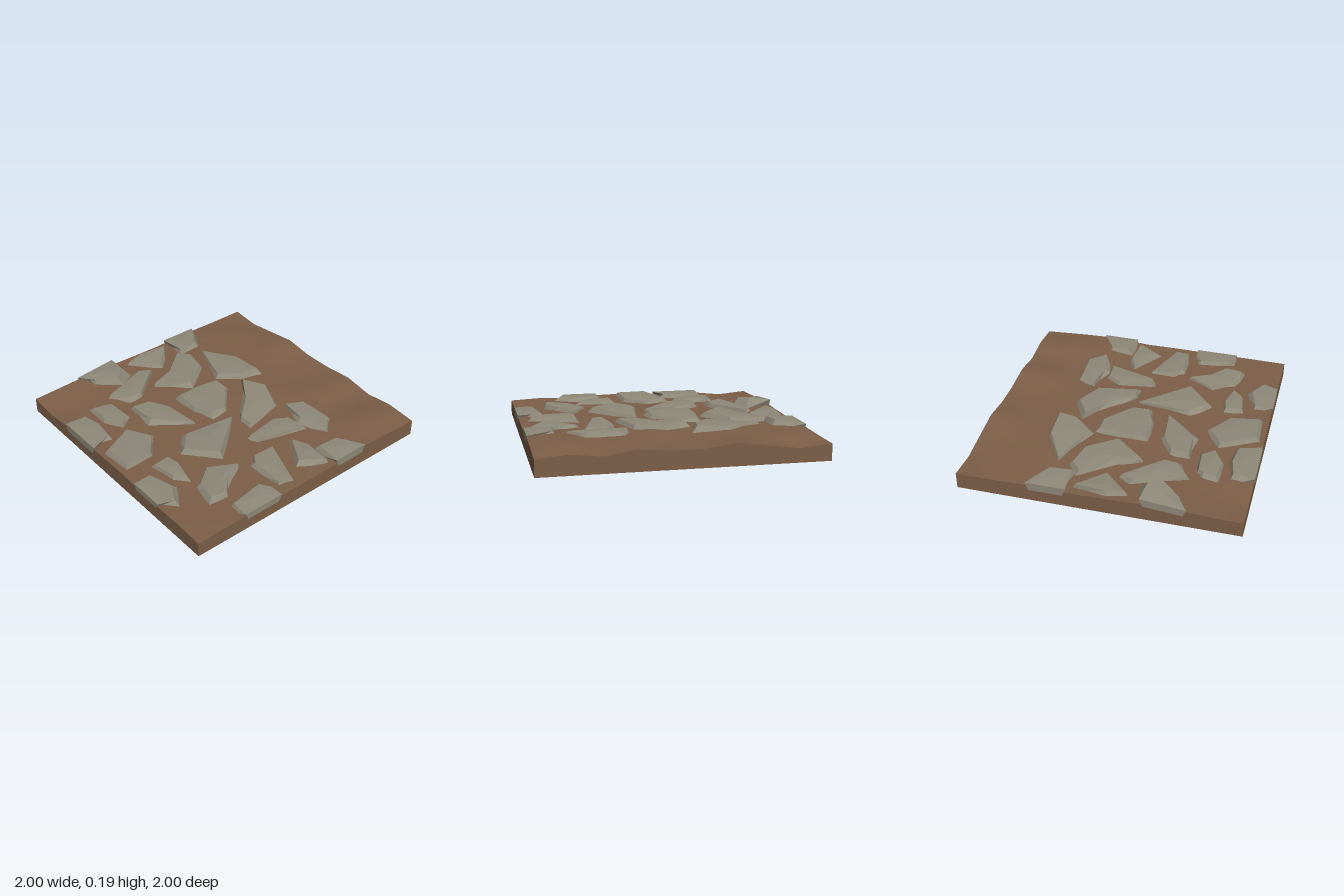
import * as THREE from 'three';

const brown = new THREE.MeshStandardMaterial({ color: 0x7d5f48, side: THREE.DoubleSide });
const brownFlat = new THREE.MeshStandardMaterial({ color: 0x7d5f48, side: THREE.DoubleSide, flatShading: true });
const grey = new THREE.MeshStandardMaterial({ color: 0x8e8978, side: THREE.DoubleSide, flatShading: true });

// Ground heights on a coarse grid: rows from back to front, columns from left to right of x
const heights = [
  [0.12, 0.10, 0.13, 0.16, 0.13, 0.13, 0.15, 0.115, 0.14, 0.12],
  [0.12, 0.14, 0.13, 0.135, 0.125, 0.12, 0.145, 0.13, 0.16, 0.135],
  [0.125, 0.125, 0.14, 0.13, 0.13, 0.14, 0.125, 0.13, 0.145, 0.145],
  [0.115, 0.115, 0.13, 0.125, 0.135, 0.13, 0.12, 0.12, 0.12, 0.12],
  [0.12, 0.11, 0.12, 0.125, 0.135, 0.125, 0.12, 0.12, 0.12, 0.12],
  [0.13, 0.12, 0.115, 0.12, 0.125, 0.125, 0.12, 0.12, 0.115, 0.115],
  [0.12, 0.11, 0.11, 0.11, 0.11, 0.115, 0.12, 0.115, 0.11, 0.115],
  [0.11, 0.09, 0.115, 0.115, 0.125, 0.13, 0.125, 0.115, 0.12, 0.11],
];

function ground(x, z) {
  const cols = heights[0].length - 1, rows = heights.length - 1;
  const u = THREE.MathUtils.clamp((x + 1) / 2, 0, 1) * cols;
  const v = THREE.MathUtils.clamp((z + 1) / 2, 0, 1) * rows;
  const i = Math.min(Math.floor(u), cols - 1), j = Math.min(Math.floor(v), rows - 1);
  const { lerp } = THREE.MathUtils;
  return lerp(lerp(heights[j][i], heights[j][i + 1], u - i),
    lerp(heights[j + 1][i], heights[j + 1][i + 1], u - i), v - j);
}

function meshFrom(name, positions, material) {
  const g = new THREE.BufferGeometry();
  g.setAttribute('position', new THREE.Float32BufferAttribute(positions.flat(), 3));
  g.computeVertexNormals();
  const mesh = new THREE.Mesh(g, material);
  mesh.name = name;
  return mesh;
}

const quad = (a, b, c, d) => [...a, ...b, ...c, ...a, ...c, ...d];

// Uneven earth surface
function earthSurface() {
  const g = new THREE.PlaneGeometry(2, 2, 18, 14).rotateX(-Math.PI / 2);
  const p = g.attributes.position;
  for (let i = 0; i < p.count; i++) p.setY(i, ground(p.getX(i), p.getZ(i)));
  g.computeVertexNormals();
  const mesh = new THREE.Mesh(g, brown);
  mesh.name = 'earthSurface';
  return mesh;
}

// Four walls around the slab, open underneath
function earthWalls() {
  const tris = [];
  const corners = [[-1, 1], [1, 1], [1, -1], [-1, -1]];
  corners.forEach(([x0, z0], k) => {
    const [x1, z1] = corners[(k + 1) % 4], n = k % 2 ? 14 : 18;
    const at = (i) => [x0 + (x1 - x0) * i / n, z0 + (z1 - z0) * i / n];
    for (let i = 0; i < n; i++) {
      const [ax, az] = at(i), [bx, bz] = at(i + 1);
      tris.push(quad([ax, 0, az], [bx, 0, bz], [bx, ground(bx, bz), bz], [ax, ground(ax, az), az]));
    }
  });
  return meshFrom('earthWalls', tris, brownFlat);
}

// Paving stone: crowned top and flared skirt, open underneath.
// Outline is a list of x, z pairs; rise is above the ground, tilt is the slope along x and z
function pavingStone(outline, rise = 0.026, tiltX = 0, tiltZ = 0, depth = 0.06) {
  const n = outline.length;
  const cx = outline.reduce((s, p) => s + p[0], 0) / n;
  const cz = outline.reduce((s, p) => s + p[1], 0) / n;
  const base = ground(cx, cz) * 0.6 + 0.4 * outline.reduce((s, p) => s + ground(...p), 0) / n + rise;
  const onRim = (v) => Math.abs(v) === 1;
  const proud = (v) => (onRim(v) ? v * 1.002 : v);
  const top = outline.map(([x, z]) => [proud(x),
    Math.max(base + (x - cx) * tiltX + (z - cz) * tiltZ, ground(x, z) + 0.014), proud(z)]);
  // The skirt flares unevenly, but narrows where the stone is cut by the slab's rim
  const foot = outline.map(([x, z], i) => {
    const d = Math.hypot(x - cx, z - cz);
    const flare = onRim(x) || onRim(z) ? -0.03 : 0.055 + 0.025 * Math.sin(i * 2.4 + cx * 9);
    const spread = (v, c) => (onRim(v) ? v * 1.002 : THREE.MathUtils.clamp(v + (v - c) / d * flare, -0.998, 0.998));
    return [spread(x, cx), Math.min(base - rise, top[i][1] - rise) - depth + rise, spread(z, cz)];
  });
  const centre = [cx, top.reduce((s, p) => s + p[1], 0) / n + 0.005, cz];
  const tris = [];
  for (let i = 0; i < n; i++) {
    const j = (i + 1) % n;
    tris.push([...centre, ...top[j], ...top[i]], quad(top[i], top[j], foot[j], foot[i]));
  }
  return meshFrom('pavingStone', tris, grey);
}

export function createModel() {
  const model = new THREE.Group();
  model.name = 'stonePavedGround';
  model.add(earthSurface(), earthWalls());

  const stones = new THREE.Group();
  stones.name = 'pavingStones';
  const add = (...args) => stones.add(pavingStone(...args));

  // Back row
  add([[-1, -.5], [-.81, -.38], [-.8, -.23], [-1, -.21]], 0.03, 0.06);
  add([[-.68, -.36], [-.43, -.5], [-.19, -.51], [-.21, -.38], [-.33, -.24]], 0.032, 0.05, -0.03);
  add([[-.14, -.33], [.02, -.42], [.22, -.33], [.29, -.04], [.2, -.03], [.05, -.2]], 0.028, -0.04, -0.03);
  add([[.29, -.39], [.35, -.51], [.6, -.52], [.71, -.41], [.49, -.36]]);
  add([[1, -.5], [1, -.22], [.81, -.24], [.82, -.39]], 0.02, -0.03);
  // Middle rows
  add([[-.78, -.18], [-.7, -.25], [-.52, -.21], [-.38, -.01], [-.55, .2], [-.61, .02]], 0.03, 0.03);
  add([[-.3, -.01], [-.28, -.18], [-.16, -.18], [.03, -.01], [.03, .11], [-.1, .17], [-.29, .16]], 0.027, 0, 0.03);
  add([[.36, -.2], [.42, -.3], [.57, -.31], [.47, .03], [.4, .04]]);
  add([[.62, -.15], [.73, -.2], [.94, -.18], [.83, -.02]], 0.026, 0.03, 0.04);
  add([[-.93, -.16], [-.75, .01], [-.92, .18], [-.95, .05]], 0.032, -0.06);
  add([[.59, .01], [.92, .13], [.9, .23], [.66, .23], [.59, .18]], 0.024, -0.02, 0.05);
  add([[-.78, .2], [-.73, .12], [-.52, .36], [-.53, .45], [-.65, .55]], 0.028, 0.04);
  add([[-.41, .51], [-.39, .38], [-.25, .3], [.02, .27], [-.2, .5]], 0.026, 0, 0.02);
  add([[.1, .4], [.14, .01], [.42, .35], [.23, .52]], 0.028, 0.04, 0.03);
  // Front rows
  add([[-1, .3], [-.83, .32], [-.77, .4], [-.87, .53], [-1, .62]], 0.038, 0.12, -0.16, 0.05);
  add([[.58, .32], [.65, .47], [.76, .57], [.74, .69], [.58, .65], [.47, .51]], 0.026, 0.05);
  add([[.83, .35], [.9, .3], [1, .29], [1, .61], [.87, .6]], 0.018, -0.05, 0, 0.05);
  add([[-.57, .65], [-.55, .61], [-.38, .6], [-.31, .68], [-.43, .75], [-.59, .74]], 0.028);
  add([[-.22, .7], [-.06, .6], [.1, .72], [.12, .93], [-.1, .94]], 0.03, 0, 0.06);
  add([[.22, .66], [.31, .64], [.47, .68], [.4, .75], [.23, .78]]);
  add([[-.54, .85], [-.4, .82], [-.25, .84], [-.19, 1], [-.56, 1]], 0.026, 0, -0.04);
  add([[.3, .87], [.48, .82], [.61, .89], [.57, 1], [.3, 1]], 0.025, 0, -0.03, 0.045);

  model.add(stones);
  return model;
}
